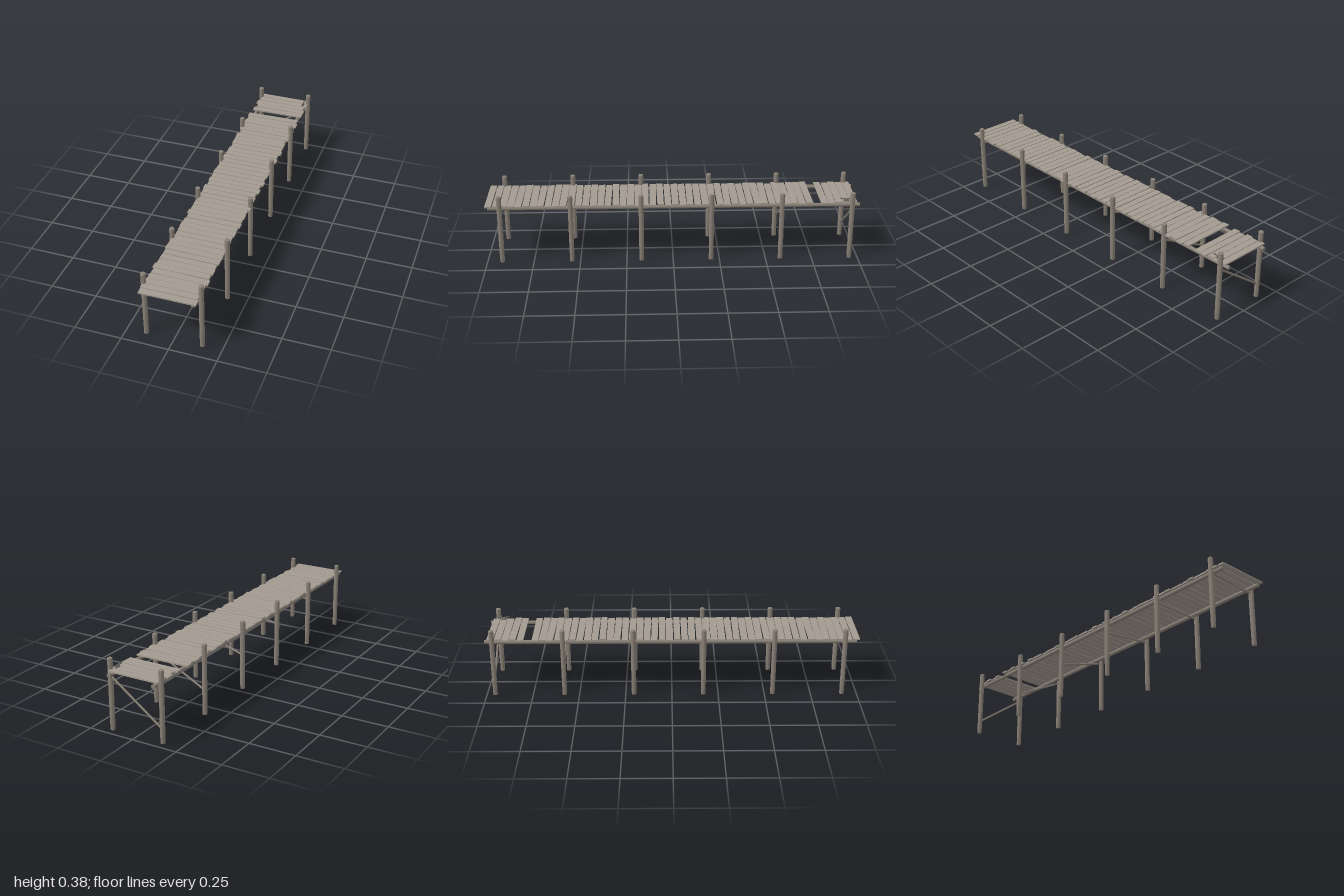
import * as THREE from 'three';

export function createModel() {
  const pier = new THREE.Group();
  pier.name = 'pier';
  const postWood = new THREE.MeshStandardMaterial({ color: 0x8a8177, roughness: 1 });
  const plankWood = new THREE.MeshStandardMaterial({ color: 0xa39b90, roughness: 1 });
  const iron = new THREE.MeshStandardMaterial({ color: 0x6a6560, roughness: 0.8 });

  // small seeded generator, -1..1
  let seed = 11;
  const vary = () => {
    seed = (seed * 16807) % 2147483647;
    return (seed / 2147483647) * 2 - 1;
  };

  const add = (name, geometry, material, parent = pier) => {
    const mesh = new THREE.Mesh(geometry, material);
    mesh.name = name;
    parent.add(mesh);
    return mesh;
  };

  // round timber running from a to b
  const log = (name, a, b, radius, material, sides = 10, parent = pier) => {
    const dir = b.clone().sub(a);
    const mesh = add(name, new THREE.CylinderGeometry(radius, radius, dir.length(), sides), material, parent);
    mesh.position.copy(a).add(b).multiplyScalar(0.5);
    mesh.quaternion.setFromUnitVectors(new THREE.Vector3(0, 1, 0), dir.normalize());
    return mesh;
  };
  const v = (x, y, z) => new THREE.Vector3(x, y, z);

  // post with a slightly worn, rounded top
  const postProfile = [[0, 0], [0.0125, 0], [0.0132, 0.12], [0.0135, 0.373], [0.0115, 0.378], [0, 0.378]]
    .map(([r, y]) => new THREE.Vector2(r, y));
  const postGeometry = new THREE.LatheGeometry(postProfile, 12);

  // six bents: a pair of posts and a cross brace that gets steeper toward the back
  const braceLow = [0.301, 0.283, 0.25, 0.194, 0.136, 0.078];
  braceLow.forEach((low, i) => {
    const z = 0.92 - i * 0.375;
    const bent = new THREE.Group();
    bent.name = 'bent' + (i + 1);
    pier.add(bent);
    for (const side of [-1, 1]) {
      const post = add(side > 0 ? 'leftPost' : 'rightPost', postGeometry, postWood, bent);
      post.position.set(side * 0.147, 0, z);
      post.rotation.y = vary() * 3;
    }
    log('crossBrace', v(-0.145, low - 0.004, z), v(0.145, 0.284, z), 0.0055, postWood, 8, bent);
  });

  // long bearers under the deck
  for (const side of [-1, 1]) {
    log(side > 0 ? 'leftBearer' : 'rightBearer',
      v(side * 0.128, 0.303, -0.997), v(side * 0.128, 0.303, 0.984), 0.0105, postWood);
  }

  // uneven deck boards, with one missing near the back
  const deck = new THREE.Group();
  deck.name = 'deck';
  pier.add(deck);
  const count = 50, pitch = 0.0397;
  for (let i = 0; i < count; i++) {
    if (i === 5) continue;
    const board = add('plank', new THREE.BoxGeometry(0.291 + vary() * 0.006, 0.008, 0.0355 + vary() * 0.002), plankWood, deck);
    board.position.set((i % 2 ? 1 : -1) * 0.003 + vary() * 0.004, 0.318 + vary() * 0.001, -0.965 + i * pitch);
    board.rotation.set(0, vary() * 0.013, vary() * 0.004);
  }

  // mooring cleat beside the last left post
  const cleat = new THREE.Group();
  cleat.name = 'mooringCleat';
  cleat.position.set(0.125, 0.322, -0.925);
  pier.add(cleat);
  add('cleatBase', new THREE.BoxGeometry(0.011, 0.004, 0.03), iron, cleat).position.y = 0.001;
  for (const side of [-1, 1]) {
    log('cleatStem', v(0, 0, side * 0.008), v(0, 0.013, side * 0.008), 0.003, iron, 8, cleat);
  }
  const hornPath = new THREE.CatmullRomCurve3([v(0, 0.016, -0.03), v(0, 0.013, -0.012), v(0, 0.013, 0.012), v(0, 0.016, 0.03)]);
  add('cleatHorns', new THREE.TubeGeometry(hornPath, 12, 0.0035, 8), iron, cleat);
  for (const side of [-1, 1]) {
    add('hornTip', new THREE.SphereGeometry(0.0035, 8, 6), iron, cleat).position.set(0, 0.016, side * 0.03);
  }

  return pier;
}
